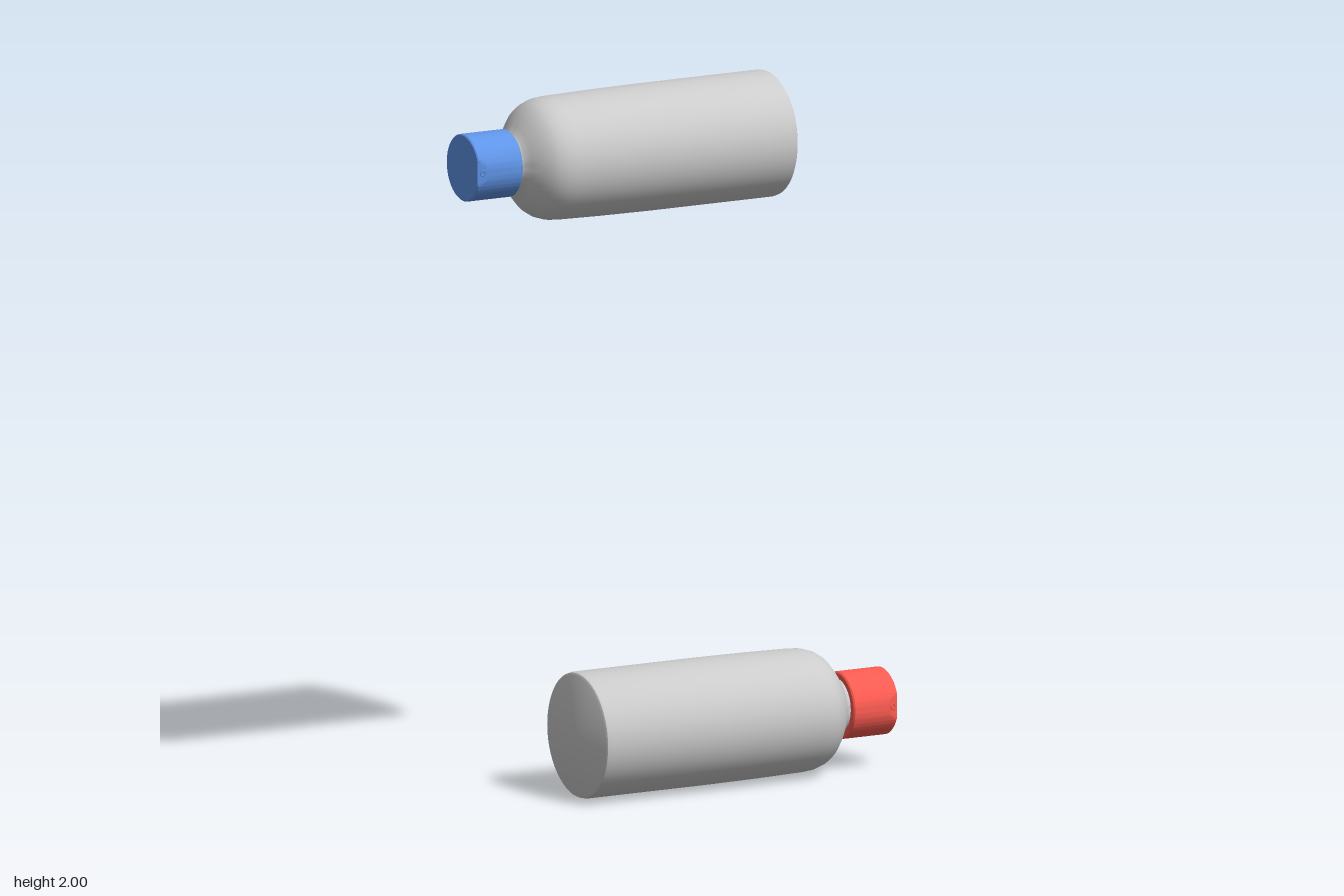
import * as THREE from 'three';
import { toCreasedNormals } from 'three/addons/utils/BufferGeometryUtils.js';

const CAP_R = 0.094, CAP_BOTTOM = 0.527, CAP_TOP = 0.667;
const NOTCH_START = 0.632, NOTCH_SLOPE = 0.24;

const lathe = (pts, segments) =>
  new THREE.LatheGeometry(pts.map(([r, y]) => new THREE.Vector2(r, y)), segments);

function mesh(name, geometry, color) {
  const m = new THREE.Mesh(geometry, new THREE.MeshStandardMaterial({ color }));
  m.name = name;
  return m;
}

// Bottle body: flat base, nearly straight wall, rounded shoulder, short neck
function bodyGeometry() {
  return toCreasedNormals(lathe([
    [0, -0.295], [0.168, -0.295], [0.174, -0.291], [0.1765, -0.28],
    [0.1765, 0.1], [0.175, 0.25], [0.172, 0.39], [0.169, 0.42],
    [0.161, 0.445], [0.148, 0.465], [0.125, 0.485], [0.1, 0.503],
    [0.081, 0.514], [0.075, 0.522], [0.074, 0.535], [0, 0.535],
  ], 64), 0.7);
}

// Cap: bevelled cylinder with a sloping flat thumb notch cut into its front rim
function capGeometry() {
  const pts = [[0, CAP_BOTTOM], [CAP_R - 0.004, CAP_BOTTOM], [CAP_R, CAP_BOTTOM + 0.004]];
  for (let i = 0; i <= 8; i++) {
    pts.push([CAP_R, THREE.MathUtils.lerp(NOTCH_START, CAP_TOP - 0.003, i / 8)]);
  }
  pts.push([CAP_R - 0.003, CAP_TOP], [0, CAP_TOP]);
  const g = lathe(pts, 96);
  const p = g.attributes.position;
  for (let i = 0; i < p.count; i++) {
    const limit = CAP_R - NOTCH_SLOPE * Math.max(0, p.getY(i) - NOTCH_START);
    if (p.getZ(i) > limit) p.setZ(i, limit);
  }
  return toCreasedNormals(g, 0.35);
}

// One bottle, built upright along y with its spout towards +z
function createBottle(name, capColor) {
  const bottle = new THREE.Group();
  bottle.name = name;
  bottle.add(mesh('body', bodyGeometry(), 0xcccccc));
  bottle.add(mesh('cap', capGeometry(), capColor));

  // Small spout ring lying in the notch
  const spout = mesh('spout', new THREE.TorusGeometry(0.007, 0.002, 8, 24), capColor);
  const y = 0.652;
  spout.position.set(0, y, CAP_R - NOTCH_SLOPE * (y - NOTCH_START));
  spout.rotation.x = -Math.atan(NOTCH_SLOPE);
  bottle.add(spout);
  return bottle;
}

export function createModel() {
  const model = new THREE.Group();
  model.name = 'bottlePair';

  // Lower bottle lies with its cap towards +x
  const lower = createBottle('lowerBottle', 0xff5c52);
  lower.rotation.z = -Math.PI / 2;
  lower.position.set(0, 0.1785, -0.0125);

  // Upper bottle lies the other way round
  const upper = createBottle('upperBottle', 0x6095e8);
  upper.rotation.z = Math.PI / 2;
  upper.position.set(0, 1.8235, 0.0125);

  model.add(lower, upper);
  return model;
}
